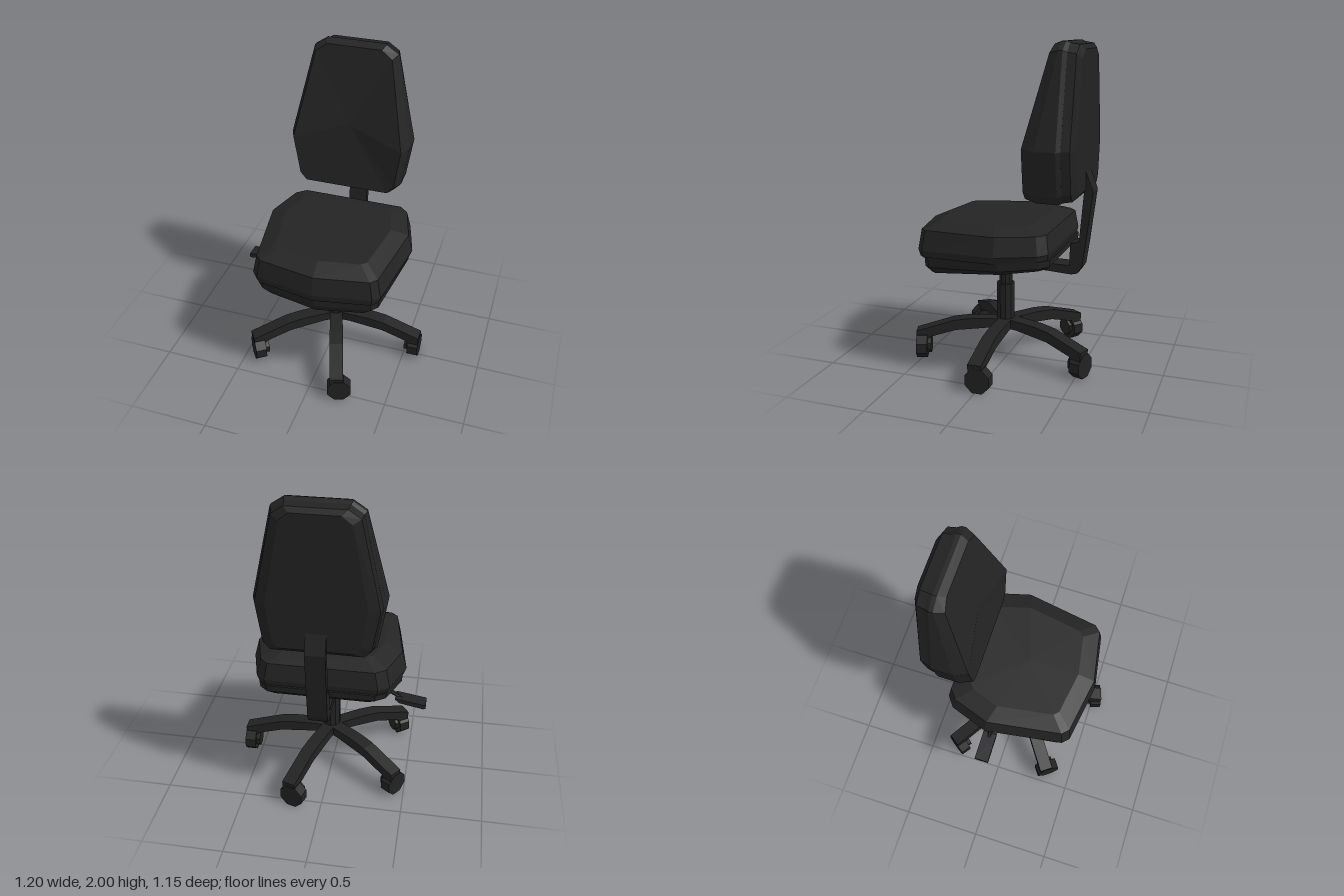
import * as THREE from 'three';

const fabric = new THREE.MeshStandardMaterial({ color: 0x242424 });
fabric.name = 'blackFabric';
const plastic = new THREE.MeshStandardMaterial({ color: 0x222222 });
plastic.name = 'blackPlastic';
for (const m of [fabric, plastic]) m.flatShading = true;

function add(parent, name, geometry, material, x = 0, y = 0, z = 0) {
  const mesh = new THREE.Mesh(geometry, material);
  mesh.name = name;
  mesh.position.set(x, y, z);
  parent.add(mesh);
  return mesh;
}

// Skin between rings of points, closed by a fan at each end.
function loft(rings) {
  const pos = [];
  const tri = (...pts) => pts.forEach((p) => pos.push(...p));
  const n = rings[0].length;
  const middle = (r) => [0, 1, 2].map((k) => r.reduce((s, p) => s + p[k], 0) / n);
  const first = rings[0], last = rings[rings.length - 1];
  const c0 = middle(first), c1 = middle(last);
  for (let i = 0; i < n; i++) {
    const j = (i + 1) % n;
    for (let k = 0; k < rings.length - 1; k++) {
      const a = rings[k], b = rings[k + 1];
      tri(a[i], a[j], b[j]);
      tri(a[i], b[j], b[i]);
    }
    tri(c0, first[j], first[i]);
    tri(c1, last[i], last[j]);
  }
  const g = new THREE.BufferGeometry();
  g.setAttribute('position', new THREE.Float32BufferAttribute(pos, 3));
  g.computeVertexNormals();
  return g;
}

// Side profile extruded to a width, centred across it.
function slab(points, width) {
  const shape = new THREE.Shape(points.map(([x, y]) => new THREE.Vector2(x, y)));
  return new THREE.ExtrudeGeometry(shape, { depth: width, bevelEnabled: false })
    .translate(0, 0, -width / 2);
}

const CX = 0.017;

// Seat outline from above, scaled about its centre, with height a rule of z.
const seatOutline = [
  [0.03, 0.5], [0.38, 0.44], [0.42, 0.4], [0.495, -0.08], [0.425, -0.32], [0.37, -0.37],
  [-0.32, -0.37], [-0.385, -0.32], [-0.465, -0.08], [-0.385, 0.4], [-0.345, 0.44],
];
const seatRing = (sx, sz, yFront, yBack, shift = 0) => seatOutline.map(([x, z]) => {
  const nz = 0.06 + (z - 0.06) * sz + shift;
  const y = yFront + (yBack - yFront) * (0.5 - nz) / 0.9;
  return [CX + (x - CX) * sx, y, nz];
});

// Backrest outline from the front, depth a rule of height.
const backOutline = [
  [-0.27, 1.09], [0.31, 1.09], [0.355, 1.14], [0.395, 1.4], [0.275, 1.95],
  [0.2, 2.0], [-0.165, 2.0], [-0.24, 1.95], [-0.36, 1.4], [-0.315, 1.14],
];
const frontZ = (y) => -0.2 - Math.max(0, y - 1.4) / 0.6 * 0.14;
const backRing = (sx, sy, depth) => backOutline.map(([x, y]) =>
  [CX + (x - CX) * sx, 1.55 + (y - 1.55) * sy, depth(y)]);

export function createModel() {
  const chair = new THREE.Group();
  chair.name = 'officeChair';

  // Seat: tapered shell below, padded cushion above
  add(chair, 'seatShell', loft([
    seatRing(0.82, 0.9, 0.6, 0.71, -0.02),
    seatRing(0.95, 0.96, 0.655, 0.735, -0.02),
    seatRing(0.96, 0.97, 0.725, 0.775, -0.02),
  ]), plastic);
  add(chair, 'seatCushion', loft([
    seatRing(0.97, 0.98, 0.725, 0.768),
    seatRing(1, 1, 0.77, 0.81),
    seatRing(0.94, 0.96, 0.89, 0.92),
    seatRing(0.72, 0.72, 0.935, 0.958),
  ]), fabric);

  // Backrest: bevelled rear shell and leaning front pad
  add(chair, 'backrestShell', loft([
    backRing(0.76, 0.9, () => -0.51),
    backRing(0.93, 0.96, () => -0.485),
    backRing(0.96, 0.98, () => -0.43),
    backRing(0.93, 0.96, () => -0.41),
  ]), plastic);
  add(chair, 'backrestPad', loft([
    backRing(0.96, 0.975, () => -0.435),
    backRing(1, 1, () => -0.41),
    backRing(1, 1, (y) => Math.max(-0.385, frontZ(y) - 0.08)),
    backRing(0.91, 0.965, frontZ),
  ]), fabric);

  // Bent bar carrying the backrest; profile runs backwards from the mechanism
  const spine = slab([
    [0.08, 0.63], [0.43, 0.61], [0.47, 0.62], [0.495, 0.66], [0.515, 0.8], [0.555, 1.13],
    [0.505, 1.26], [0.48, 1.24], [0.5, 1.12], [0.475, 0.82], [0.42, 0.8], [0.42, 0.665], [0.08, 0.67],
  ], 0.12).rotateY(Math.PI / 2);
  add(chair, 'backrestBar', spine, plastic, 0.02);

  // Tilt mechanism under the seat
  add(chair, 'mechanism', new THREE.BoxGeometry(0.26, 0.05, 0.28), plastic, 0.02, 0.645, 0.02).rotation.x = 0.06;

  // Height lever: thin rod and flat paddle
  const rodPath = new THREE.CatmullRomCurve3([
    new THREE.Vector3(-0.08, 0.66, -0.07), new THREE.Vector3(-0.35, 0.615, -0.07),
    new THREE.Vector3(-0.45, 0.56, -0.07),
  ]);
  add(chair, 'leverRod', new THREE.TubeGeometry(rodPath, 4, 0.013, 6), plastic);
  const paddle = slab([
    [-0.6, 0.525], [-0.585, 0.52], [-0.43, 0.55], [-0.405, 0.575], [-0.42, 0.578], [-0.6, 0.548],
  ], 0.09);
  add(chair, 'leverPaddle', paddle, plastic, 0, 0, -0.07);

  // Gas column
  add(chair, 'columnSleeve', new THREE.CylinderGeometry(0.058, 0.058, 0.29, 10), plastic, 0.02, 0.35, 0.01);
  add(chair, 'columnRod', new THREE.CylinderGeometry(0.043, 0.043, 0.2, 10), plastic, 0.02, 0.56, 0.01);
  add(chair, 'hub', new THREE.CylinderGeometry(0.075, 0.06, 0.065, 10), plastic, 0.02, 0.23, 0);

  // Five-legged base with a castor at each tip
  const legShape = slab([
    [0, 0.2], [0.1, 0.205], [0.33, 0.185], [0.5, 0.135], [0.51, 0.09], [0.575, 0.09],
    [0.58, 0.175], [0.34, 0.25], [0.24, 0.262], [0, 0.265],
  ], 0.085);
  const wheel = new THREE.CylinderGeometry(0.08, 0.08, 0.07, 8).rotateY(Math.PI / 8).rotateZ(Math.PI / 2);
  const cap = new THREE.CylinderGeometry(0.055, 0.055, 0.03, 8).rotateY(Math.PI / 8).rotateZ(Math.PI / 2);
  for (let i = 0; i < 5; i++) {
    const leg = new THREE.Group();
    leg.name = 'baseLeg' + (i + 1);
    leg.position.set(0.02, 0, 0);
    leg.rotation.y = -i * Math.PI * 2 / 5;
    add(leg, 'legArm', legShape, plastic);
    add(leg, 'castorWheel', wheel, plastic, 0.545, 0.074, -0.015);
    add(leg, 'castorCap', cap, plastic, 0.5, 0.08, -0.015);
    chair.add(leg);
  }
  return chair;
}
